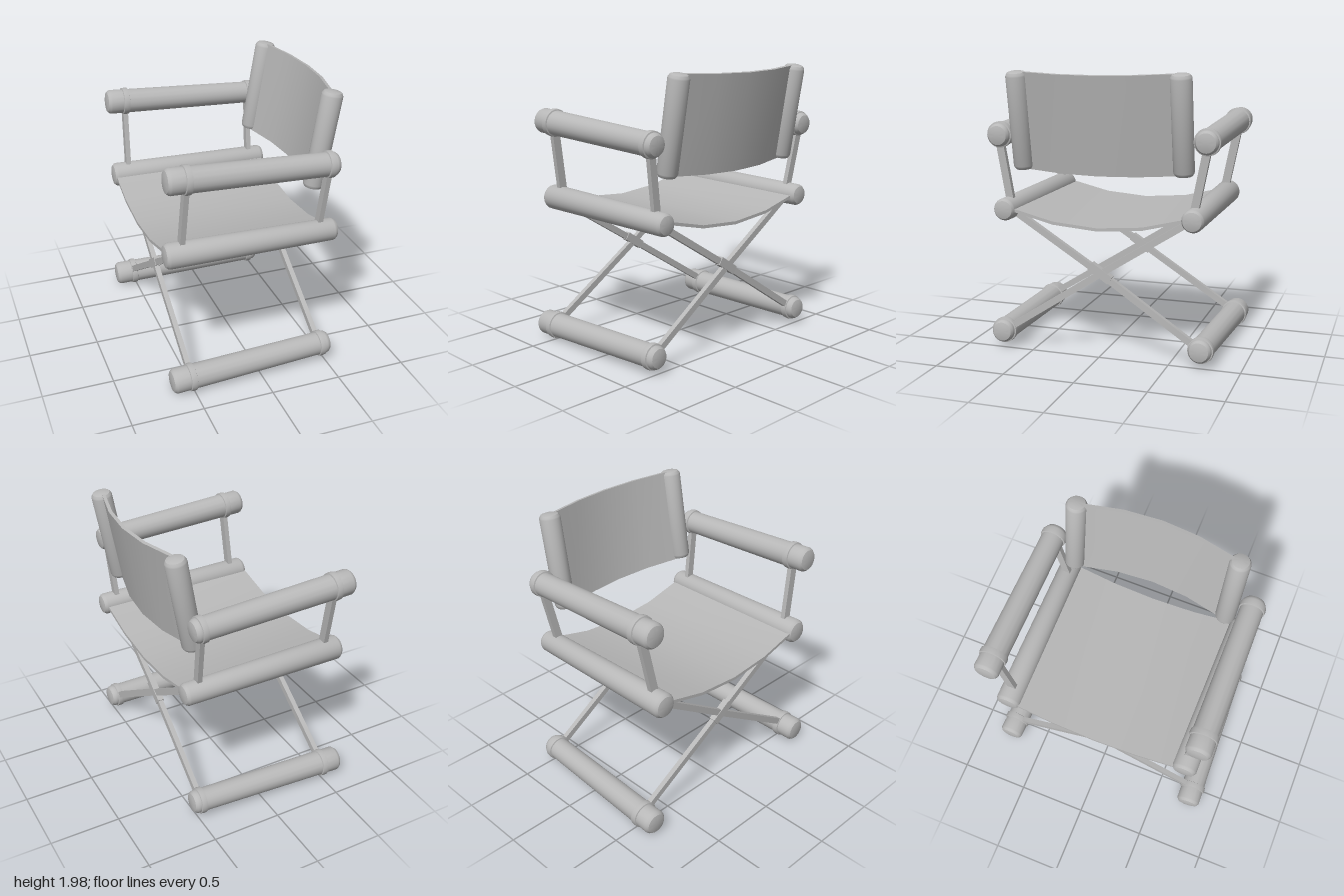
import * as THREE from 'three';
import { toCreasedNormals } from 'three/addons/utils/BufferGeometryUtils.js';

const V = (x, y, z) => new THREE.Vector3(x, y, z);

export function createModel() {
  const chair = new THREE.Group();
  chair.name = 'foldingSlingChair';
  const grey = new THREE.MeshStandardMaterial({ color: 0xb8b8b8 });
  grey.name = 'grey';

  function add(name, geometry, parent = chair) {
    const mesh = new THREE.Mesh(geometry, grey);
    mesh.name = name;
    parent.add(mesh);
    return mesh;
  }

  // Place a mesh so that its y axis runs from a to b
  function align(mesh, a, b) {
    const y = b.clone().sub(a).normalize();
    const ref = Math.abs(y.x) > 0.9 ? V(0, 0, 1) : V(1, 0, 0);
    const z = ref.clone().cross(y).normalize();
    const x = y.clone().cross(z);
    mesh.quaternion.setFromRotationMatrix(new THREE.Matrix4().makeBasis(x, y, z));
    mesh.position.copy(a).add(b).multiplyScalar(0.5);
    return mesh;
  }

  // Round pole with domed ends and optional raised bands (distances from end a)
  function pole(name, a, b, r0, r1, bands = [], parent = chair) {
    const len = a.distanceTo(b);
    const r = (t) => r0 + (r1 - r0) * (t / len);
    const pts = [[0, 0], [r0 * 0.55, 0.003], [r0 * 0.82, 0.009], [r0 * 0.96, 0.024], [r0, 0.034]];
    for (const t of bands) {
      const h = 0.023, e = 0.009;
      pts.push([r(t), t - h], [r(t) + e, t - h + 0.003], [r(t) + e + 0.002, t],
        [r(t) + e, t + h - 0.003], [r(t), t + h]);
    }
    pts.push([r1, len - 0.034], [r1 * 0.96, len - 0.024], [r1 * 0.82, len - 0.009],
      [r1 * 0.55, len - 0.003], [0, len]);
    const profile = pts.map(([x, y]) => new THREE.Vector2(x, y - len / 2));
    const geo = toCreasedNormals(new THREE.LatheGeometry(profile, 32), 0.6);
    return align(add(name, geo, parent), a, b);
  }

  // Flat bar between two points, thin along x
  function bar(name, a, b, thick, width) {
    return align(add(name, new THREE.BoxGeometry(thick, a.distanceTo(b), width)), a, b);
  }

  // Long poles of the two sides
  const sides = [
    { label: 'left', s: 1, arm: 0.73, seat: 0.68, foot: 0.725 },
    { label: 'right', s: -1, arm: 0.743, seat: 0.667, foot: 0.717 },
  ];
  for (const { label, s, arm, seat, foot } of sides) {
    pole(label + 'Armrest', V(-0.66, 1.598, s * (arm + 0.008)), V(0.535, 1.54, s * arm), 0.089, 0.081, [0.145, 1.13]);
    pole(label + 'SeatRail', V(-0.66, 1.037, s * (seat - 0.003)), V(0.57, 1.026, s * seat), 0.088, 0.078);
    pole(label + 'FootRail', V(-0.66, 0.102, s * (foot + 0.042)), V(0.54, 0.13, s * foot), 0.088, 0.081, [0.145, 1.13]);
  }

  // Arm supports, crossed legs and hinge block at each end
  const ends = [
    { label: 'front', seatX: -0.537, armX: -0.518, hubX: -0.531, footX: -0.517, footZ: 0.03, w: 0.06 },
    { label: 'back', seatX: 0.445, armX: 0.47, hubX: 0.45, footX: 0.465, footZ: 0, w: 0.055 },
  ];
  for (const { label, seatX, armX, hubX, footX, footZ, w } of ends) {
    for (const { label: side, s, arm, seat, foot } of sides) {
      bar(label + side + 'ArmSupport', V(seatX, 1.05, s * (seat - 0.015)), V(armX, 1.54, s * (arm + 0.01)), 0.035, w);
      const hub = V(hubX, 0.6, 0);
      bar(label + side + 'UpperLeg', hub, V(seatX, 1.02, s * (seat - 0.01)), 0.036, 0.046);
      bar(label + side + 'LowerLeg', hub, V(footX, 0.125, s * (foot + footZ)), 0.036, 0.046);
    }
    bar(label + 'HingeBlock', V(hubX, 0.556, -0.07), V(hubX, 0.652, 0.075), 0.046, 0.062);
  }

  // Fabric panel bent by a rule
  function fabric(name, size, segments, rule, parent) {
    const geo = new THREE.BoxGeometry(...size, ...segments);
    const p = geo.attributes.position;
    const v = V(0, 0, 0);
    for (let i = 0; i < p.count; i++) {
      rule(v.fromBufferAttribute(p, i));
      p.setXYZ(i, v.x, v.y, v.z);
    }
    return add(name, toCreasedNormals(geo, 0.6), parent);
  }

  // Sagging seat, slightly lower towards the back
  fabric('seatSling', [1.18, 0.022, 1.28], [1, 1, 4], (v) => {
    const k = (v.z / 0.64) ** 2;
    v.y += 0.936 + 0.105 * k - 0.017 * v.x;
    v.x -= 0.053 + (v.x < 0 ? 0.008 * (1 - k) : 0);
  });

  // Reclined backrest: two posts and a curved panel
  const back = new THREE.Group();
  back.name = 'backrest';
  back.position.set(0.497, 1.645, -0.008);
  back.rotation.z = -0.172;
  chair.add(back);
  for (const s of [1, -1]) {
    pole('backPost', V(0, -0.345, s * 0.573), V(0, 0.347, s * 0.573), 0.072, 0.073, [], back);
  }
  fabric('backSling', [0.024, 0.684, 1.06], [1, 1, 4], (v) => {
    v.x += 0.085 * (1 - (v.z / 0.53) ** 2);
    v.x -= 0.002;
  }, back).position.x = 0;

  return chair;
}
